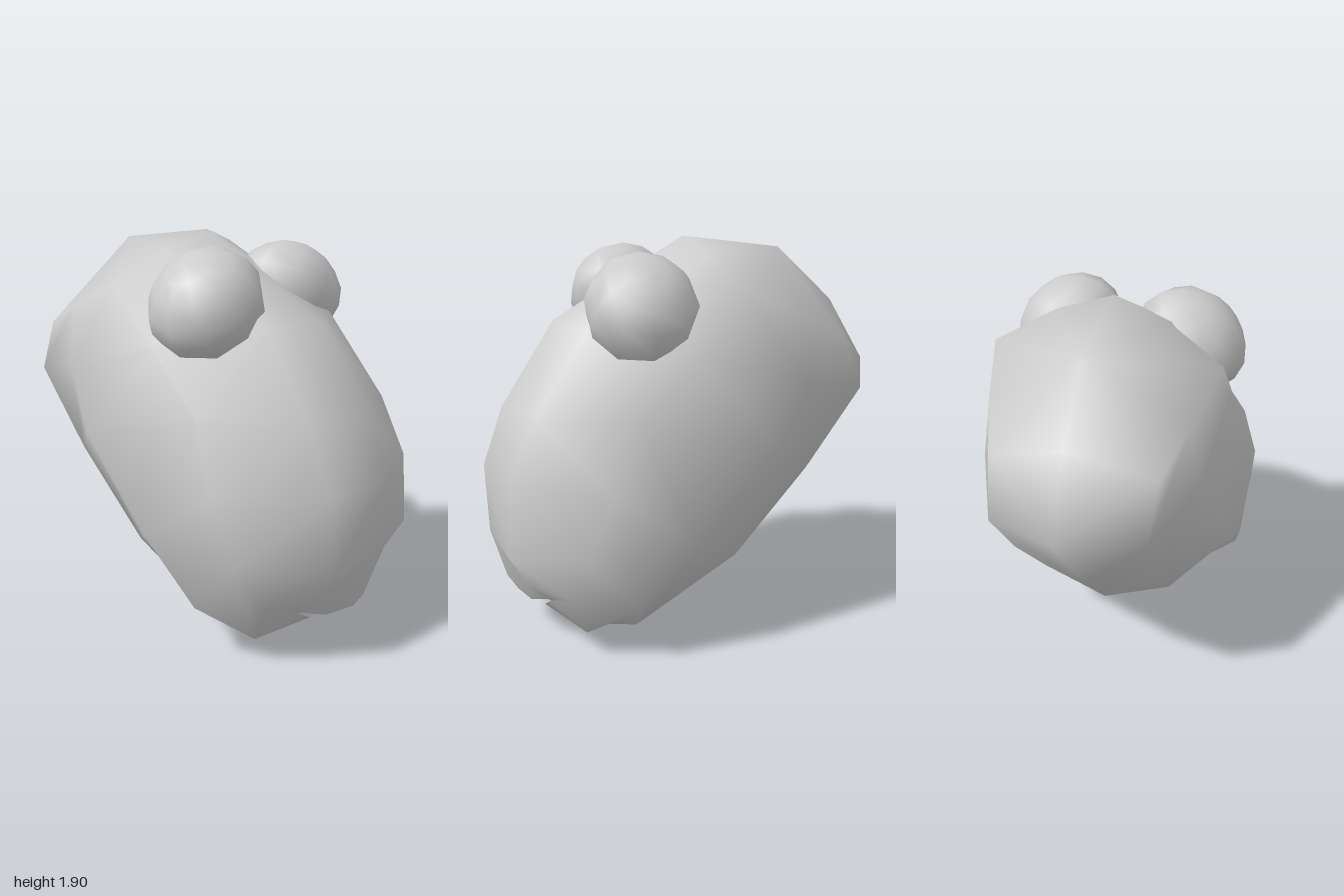
import * as THREE from 'three';

const material = new THREE.MeshStandardMaterial({ color: 0xcccccc, side: THREE.DoubleSide });

// Left halves of the body cross-sections, front to back, from the mouth to the rump
const SECTIONS = [
  [[0, 0.17, 0.87], [0.2, 0.2, 0.83], [0.35, 0.26, 0.76], [0.32, 0.235, 0.755], [0.24, 0.185, 0.77], [0, 0.13, 0.79]],
  [[0, 0.25, 0.92], [0.34, 0.35, 0.86], [0.53, 0.33, 0.7], [0.46, 0.12, 0.61], [0.28, 0.07, 0.58], [0, 0.05, 0.59]],
  [[0, 0.5, 0.99], [0.375, 0.5, 0.94], [0.655, 0.56, 0.63], [0.625, 0.28, 0.39], [0.33, 0.05, 0.34], [0, 0, 0.2]],
  [[0, 0.84, 1], [0.36, 0.85, 0.92], [0.67, 0.84, 0.5], [0.66, 0.58, 0.13], [0.34, 0.36, -0.17], [0, 0.24, -0.2]],
  [[0, 1.12, 0.9], [0.33, 1.13, 0.8], [0.6, 1.16, 0.38], [0.585, 0.97, -0.28], [0.36, 0.79, -0.53], [0, 0.7, -0.6]],
  [[0, 1.52, 0.64], [0.27, 1.52, 0.53], [0.55, 1.43, 0.1], [0.5, 1.25, -0.45], [0.35, 1.17, -0.81], [0, 1.25, -1]],
  [[0, 1.9, 0], [0.25, 1.83, -0.05], [0.53, 1.68, -0.14], [0.45, 1.55, -0.46], [0.37, 1.43, -0.7], [0, 1.57, -0.8]],
];
const SIDES = 10;

// Completes a half section into a closed ring
function ring(half) {
  return [...half, ...half.slice(1, -1).reverse().map(([x, y, z]) => [-x, y, z])];
}

function makeGeometry(points, index) {
  const g = new THREE.BufferGeometry();
  g.setAttribute('position', new THREE.Float32BufferAttribute(points.flat(), 3));
  g.setIndex(index);
  g.computeVertexNormals();
  return g;
}

function bodyGeometry() {
  const points = SECTIONS.flatMap(ring);
  const index = [];
  const last = SECTIONS.length - 1;
  for (let i = 0; i < last; i++) {
    for (let j = 0; j < SIDES; j++) {
      const k = (j + 1) % SIDES;
      const a = i * SIDES + j, b = i * SIDES + k;
      const c = a + SIDES, d = b + SIDES;
      // Mirror the diagonals so both halves match
      if (j < SIDES / 2) index.push(a, b, c, b, d, c);
      else index.push(a, b, d, a, d, c);
    }
  }
  // Close the rump
  points.push([0, 1.84, -0.5]);
  for (let j = 0; j < SIDES; j++) {
    index.push(last * SIDES + j, last * SIDES + (j + 1) % SIDES, points.length - 1);
  }
  return makeGeometry(points, index);
}

// Pocket behind the open lips
function mouthGeometry() {
  const points = ring(SECTIONS[0]);
  points.push([0, 0.26, 0.74]);
  const index = [];
  for (let j = 0; j < SIDES; j++) index.push((j + 1) % SIDES, j, SIDES);
  return makeGeometry(points, index);
}

export function createModel() {
  const model = new THREE.Group();
  const add = (name, geometry) => {
    const mesh = new THREE.Mesh(geometry, material);
    mesh.name = name;
    model.add(mesh);
    return mesh;
  };

  add('body', bodyGeometry());
  add('mouth', mouthGeometry());

  // Bulging eyes, slightly uneven and drooping outwards
  const eye = new THREE.SphereGeometry(1, 10, 8);
  for (const [name, side, x, y, z] of [['leftEye', 1, 0.29, 1.59, 0.28], ['rightEye', -1, -0.32, 1.6, 0.23]]) {
    const mesh = add(name, eye);
    mesh.position.set(x, y, z);
    mesh.scale.set(0.285, 0.24, 0.265);
    mesh.rotation.z = -0.65 * side;
  }

  return model;
}
